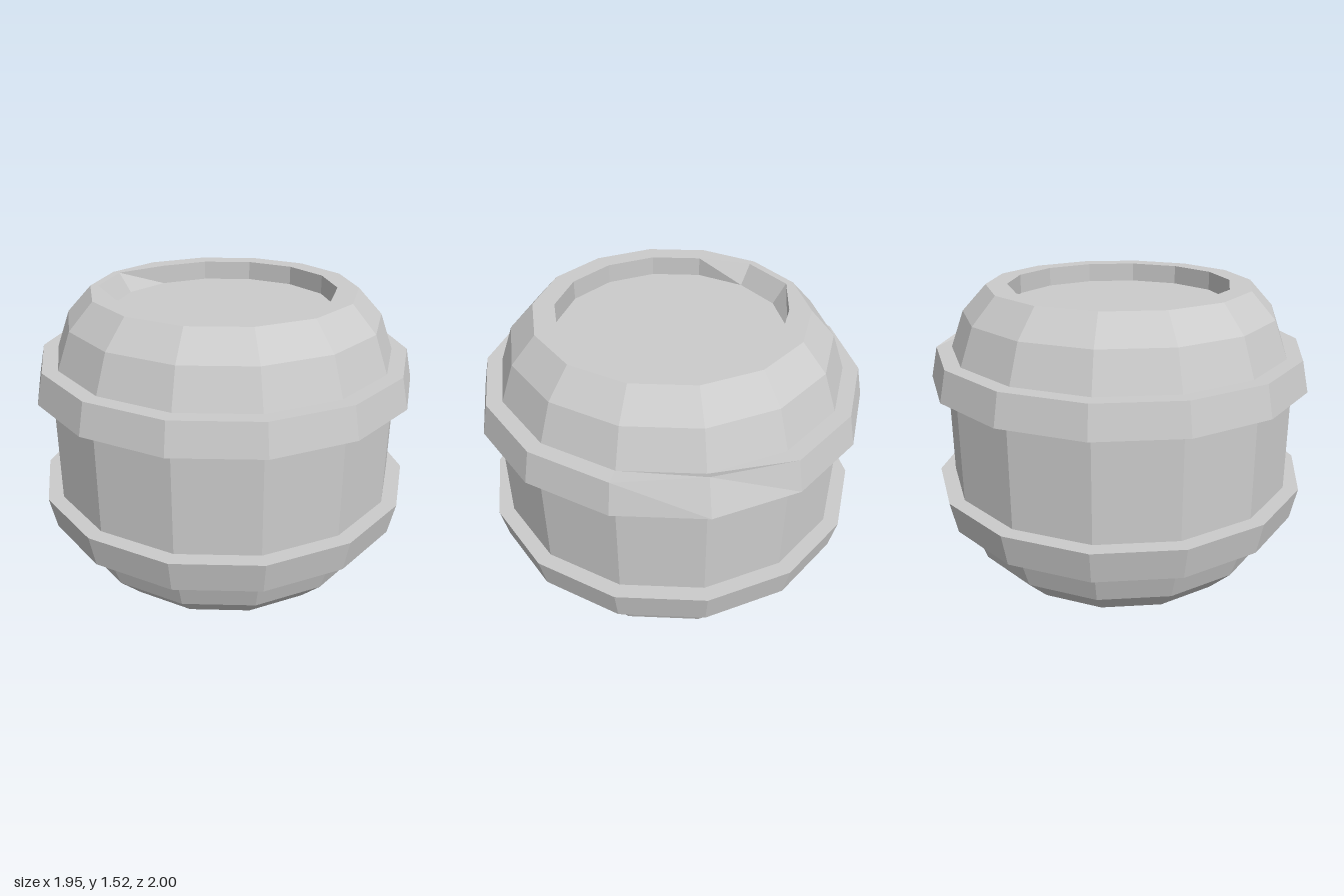
import * as THREE from 'three';

const SIDES = 14;
const material = new THREE.MeshStandardMaterial({ color: 0xcccccc, flatShading: true });

// Faceted ring or shell; profile runs from the bottom up as [radius, y]
function turned(name, profile, adjust) {
  const geometry = new THREE.LatheGeometry(profile.map(([r, y]) => new THREE.Vector2(r, y)), SIDES);
  if (adjust) {
    const pos = geometry.attributes.position;
    const v = new THREE.Vector3();
    for (let i = 0; i < pos.count; i++) {
      v.fromBufferAttribute(pos, i);
      adjust(v);
      pos.setXYZ(i, v.x, v.y, v.z);
    }
    geometry.computeVertexNormals();
  }
  const mesh = new THREE.Mesh(geometry, material);
  mesh.name = name;
  return mesh;
}

export function createModel() {
  const barrel = new THREE.Group();
  barrel.name = 'barrel';

  // Hollow underside and bulging lower staves
  barrel.add(turned('lowerStaves', [
    [0, 0.14], [0.62, 0.14], [0.62, 0], [0.69, 0], [0.82, 0.135], [0.885, 0.33],
  ]));

  // Straight middle band
  barrel.add(turned('middleStaves', [[0.92, 0.5], [0.92, 1.04]]));

  // Upper staves, rim and sunken lid; two inner rim corners are worn outward
  barrel.add(turned('upperStaves', [
    [0.885, 1.2], [0.815, 1.39], [0.69, 1.525], [0.58, 1.525], [0.58, 1.425], [0, 1.425],
  ], (v) => {
    const innerRim = v.y > 1.5 && Math.hypot(v.x, v.z) < 0.6;
    if (innerRim && v.x < -0.4 && v.z > 0) {
      v.x *= 1.12;
      v.z *= 1.12;
    }
  }));

  // Flared hoops
  barrel.add(turned('lowerHoop', [[0.885, 0.33], [0.965, 0.33], [1, 0.5], [0.92, 0.5]]));
  // The upper hoop is bent up a little at the back
  barrel.add(turned('upperHoop', [[0.92, 1.04], [1, 1.04], [0.965, 1.2], [0.885, 1.2]], (v) => {
    if (v.y > 1.1 && v.z < -0.95) {
      v.y += 0.02;
      v.z += 0.035;
    }
  }));

  return barrel;
}
